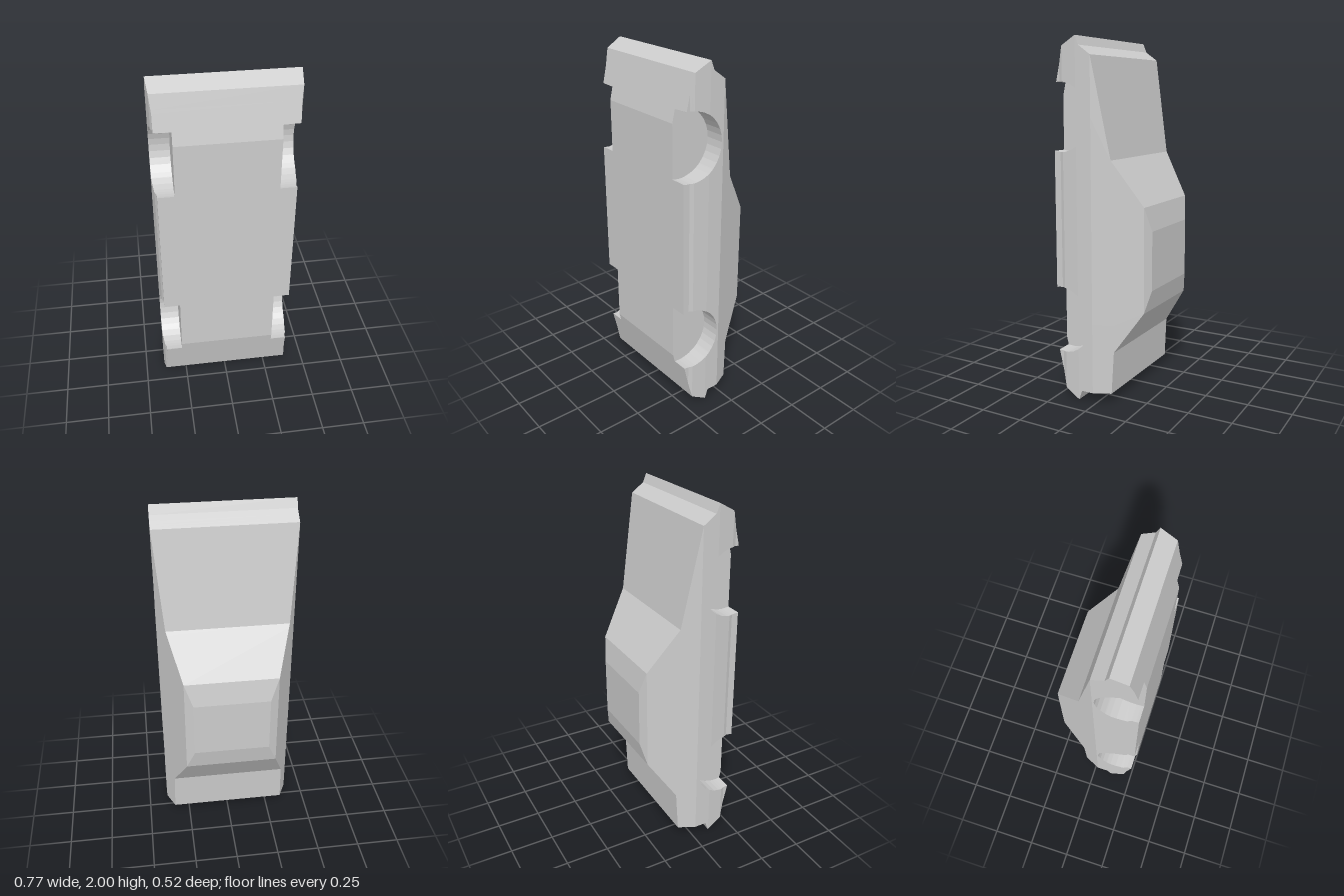
import * as THREE from 'three';

// Car body standing on its tail: roof faces -z, underside faces +z.
// Outline rules, each a list of [z, value] running from roof to underside.
const TOP_END = [[-0.26, 0.97], [-0.235, 1.105], [-0.075, 1.355], [0.02, 1.9], [0.09, 1.95], [0.11, 2], [0.2, 1.95], [0.26, 1.69]];
const LOW_END = [[-0.26, 0.64], [-0.235, 0.52], [-0.087, 0.295], [-0.075, 0.055], [0.09, 0.055], [0.11, 0], [0.2, 0.05], [0.26, 0.31]];
const HALF_WIDTH = [[-0.26, 0.217], [-0.235, 0.265], [0.02, 0.387], [0.11, 0.387], [0.2, 0.377], [0.222, 0.367], [0.26, 0.367]];

// Wheel arches
const ARCH_Y = [0.45, 1.578];
const ARCH_Z = 0.217, ARCH_R = 0.187, ARCH_INNER = 0.276;
const ARCH_ROOF = ARCH_Z - ARCH_R;

function sample(rule, z) {
  for (let i = 1; i < rule.length; i++) {
    const [z0, v0] = rule[i - 1], [z1, v1] = rule[i];
    if (z <= z1) return v0 + (v1 - v0) * (z - z0) / (z1 - z0);
  }
  return rule[rule.length - 1][1];
}

// Counter-clockwise section at height z: +x side from low end to top end, then mirrored
function section(z, cut) {
  const lo = sample(LOW_END, z), hi = sample(TOP_END, z), w = sample(HALF_WIDTH, z);
  const half = cut ? Math.sqrt(Math.max(0, ARCH_R ** 2 - (z - ARCH_Z) ** 2)) : 0;
  const inner = cut ? ARCH_INNER : w;
  const clampY = (y) => Math.min(hi, Math.max(lo, y));
  // where an arch swallows the corner, the end becomes as narrow as the core
  const lowX = ARCH_Y[0] - half <= lo ? inner : w;
  const topX = ARCH_Y[1] + half >= hi ? inner : w;
  const side = [[lowX, lo]];
  ARCH_Y.forEach((c, k) => {
    const a = clampY(c - half), b = clampY(c + half);
    side.push([k === 0 ? lowX : w, a], [inner, a], [inner, b], [k === 1 ? topX : w, b]);
  });
  side.push([topX, hi]);
  const mirrored = side.map(([x, y]) => [-x, y]).reverse();
  return [...side, ...mirrored].map(([x, y]) => new THREE.Vector3(x, y, z));
}

function bodyGeometry() {
  // section heights: every outline break, the arch curve, and the arch/end crossings
  const heights = [...TOP_END, ...LOW_END, ...HALF_WIDTH].map((p) => p[0]);
  for (let i = 1; i <= 8; i++) heights.push(ARCH_Z - ARCH_R * Math.cos(i * Math.PI / 16));
  heights.push(0.2425, 0.2435, 0.249, 0.25);
  const levels = [...new Set(heights)].sort((a, b) => a - b);
  const above = levels.filter((z) => z < ARCH_ROOF), below = levels.filter((z) => z > ARCH_ROOF);
  const loops = [
    ...above.map((z) => section(z, false)),
    section(ARCH_ROOF, false), section(ARCH_ROOF, true),
    ...below.map((z) => section(z, true)),
  ];

  const positions = [];
  const tri = (a, b, c) => {
    if (new THREE.Triangle(a, b, c).getArea() < 1e-8) return;
    for (const p of [a, b, c]) positions.push(p.x, p.y, p.z);
  };
  const quad = (a, b, c, d) => { tri(a, b, c); tri(a, c, d); };

  // skin between sections
  for (let k = 1; k < loops.length; k++) {
    const p = loops[k - 1], q = loops[k], n = p.length;
    for (let i = 0; i < n; i++) {
      const j = (i + 1) % n;
      quad(p[i], p[j], q[j], q[i]);
    }
  }
  // roof and underside, in strips across the width
  const roof = loops[0], floor = loops[loops.length - 1];
  for (let i = 0; i < 9; i++) {
    quad(floor[19 - i], floor[i], floor[i + 1], floor[18 - i]);
    quad(roof[18 - i], roof[i + 1], roof[i], roof[19 - i]);
  }

  const geometry = new THREE.BufferGeometry();
  geometry.setAttribute('position', new THREE.Float32BufferAttribute(positions, 3));
  geometry.computeVertexNormals();
  return geometry;
}

export function createModel() {
  const model = new THREE.Group();
  model.name = 'carBodyModel';
  const body = new THREE.Mesh(
    bodyGeometry(),
    new THREE.MeshStandardMaterial({ color: 0xcccccc, flatShading: true }),
  );
  body.name = 'carBody';
  model.add(body);
  return model;
}
